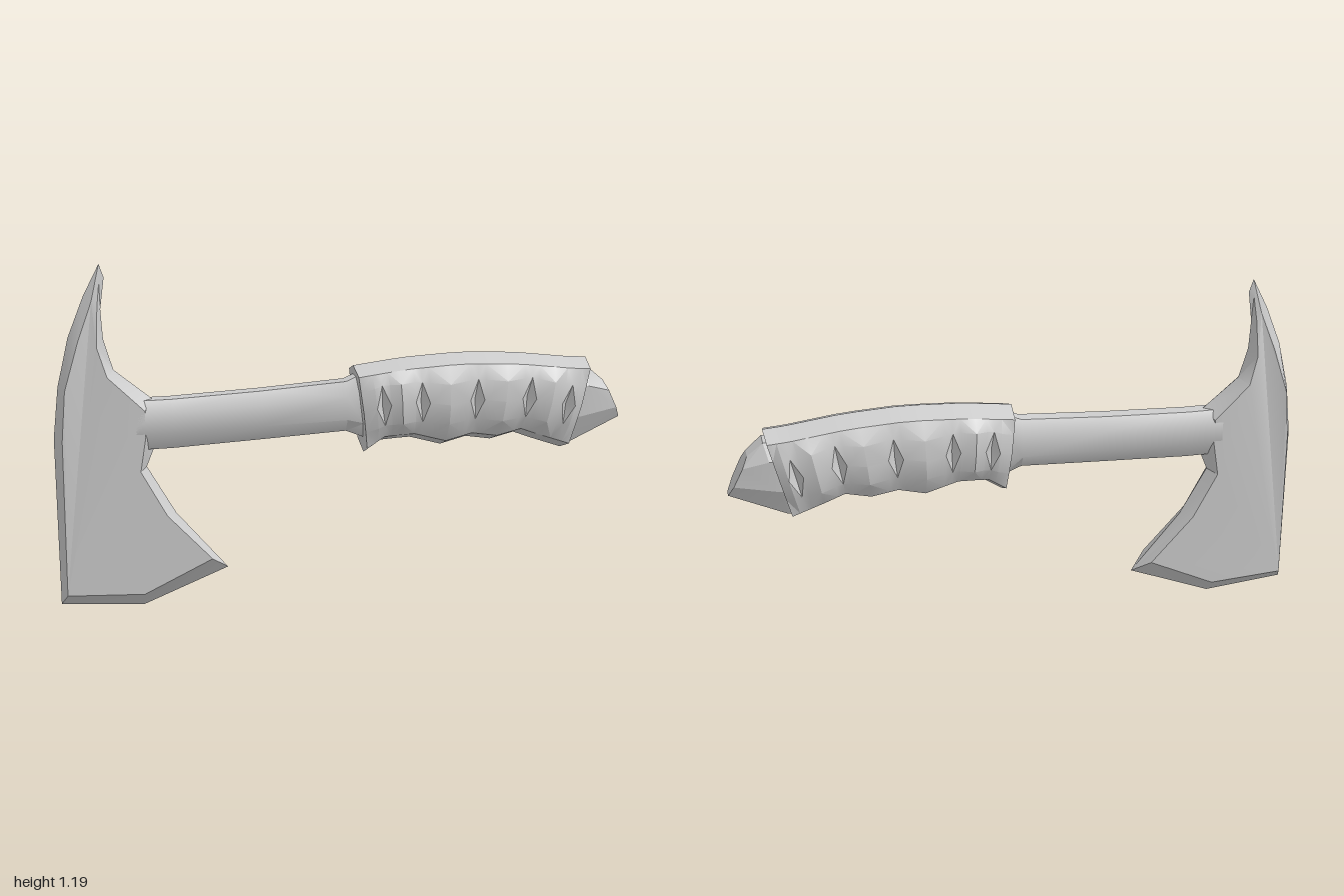
import * as THREE from 'three';
import { toCreasedNormals } from 'three/addons/utils/BufferGeometryUtils.js';

const material = new THREE.MeshStandardMaterial({ color: 0xcccccc });

function makeMesh(name, positions, indices, crease = 0.5) {
  const geometry = new THREE.BufferGeometry();
  geometry.setAttribute('position', new THREE.Float32BufferAttribute(positions.flat(), 3));
  geometry.setIndex(indices);
  const mesh = new THREE.Mesh(toCreasedNormals(geometry, crease), material);
  mesh.name = name;
  return mesh;
}

// Closed skin over rings of [x, y, z], running along +x. Each ring goes top, +z side, bottom, -z side.
// Quad diagonals alternate like a checkerboard, so that diamonds come out of the grid.
function loft(name, rings, crease) {
  const n = rings[0].length, last = rings.length - 1;
  const positions = rings.flat(), indices = [];
  for (let i = 0; i < last; i++) {
    for (let j = 0; j < n; j++) {
      const k = (j + 1) % n;
      const a = i * n + j, b = a + n, c = (i + 1) * n + k, d = i * n + k;
      if ((i + j) % 2) indices.push(a, d, b, d, c, b);
      else indices.push(a, d, c, a, c, b);
    }
  }
  for (const i of [0, last]) {
    const centre = [0, 1, 2].map((axis) => rings[i].reduce((sum, p) => sum + p[axis], 0) / n);
    const c = positions.push(centre) - 1;
    for (let j = 0; j < n; j++) {
      const a = i * n + j, b = i * n + (j + 1) % n;
      indices.push(...(i ? [c, a, b] : [c, b, a]));
    }
  }
  return makeMesh(name, positions, indices, crease);
}

// Full ring from its +z half, listed from top to bottom; points on z = 0 are not doubled
const mirrorRing = (half) => [...half, ...half.filter((p) => p[2] > 0).reverse().map(([x, y, z]) => [x, y, -z])];

// Linear interpolation in a short list of [x, value]
function lerpTable(table, x) {
  let i = 1;
  while (i < table.length - 1 && table[i][0] < x) i++;
  const [x0, v0] = table[i - 1], [x1, v1] = table[i];
  return THREE.MathUtils.mapLinear(THREE.MathUtils.clamp(x, x0, x1), x0, x1, v0, v1);
}

// Blade and spike: a sharp outline at z = 0 bevelled up to a flat cheek on each side
function createHead() {
  // outline x, y, cheek x, y, cheek half thickness
  const points = [
    [-0.82, 1.19, -0.825, 1.15, 0.005], [-0.875, 1.085, -0.85, 1.07, 0.018],
    [-0.93, 0.95, -0.90, 0.94, 0.035], [-0.97, 0.785, -0.95, 0.78, 0.05],
    [-0.99, 0.61, -0.965, 0.61, 0.05], [-0.99, 0.025, -0.97, 0.07, 0.05],
    [-0.71, 0, -0.71, 0.055, 0.05], [-0.415, 0.115, -0.475, 0.165, 0.05],
    [-0.59, 0.325, -0.625, 0.33, 0.05], [-0.685, 0.495, -0.71, 0.49, 0.05],
    [-0.66, 0.555, -0.69, 0.61, 0.05], [-0.66, 0.73, -0.69, 0.70, 0.05],
    [-0.785, 0.835, -0.81, 0.82, 0.05], [-0.815, 0.94, -0.84, 0.92, 0.035],
    [-0.82, 1.04, -0.832, 1.05, 0.02], [-0.805, 1.145, -0.822, 1.13, 0.007],
  ];
  const n = points.length;
  const positions = [
    ...points.map(([x, y]) => [x, y, 0]),
    ...points.map(([, , x, y, z]) => [x, y, z]),
    ...points.map(([, , x, y, z]) => [x, y, -z]),
  ];
  const indices = [];
  const cheek = THREE.ShapeUtils.triangulateShape(points.map((p) => new THREE.Vector2(p[2], p[3])), []);
  for (const [a, b, c] of cheek) indices.push(n + a, n + b, n + c, 2 * n + a, 2 * n + c, 2 * n + b);
  for (let i = 0; i < n; i++) {
    const k = (i + 1) % n;
    indices.push(i, k, n + k, i, n + k, n + i);
    indices.push(i, 2 * n + k, k, i, 2 * n + i, 2 * n + k);
  }
  return makeMesh('axeHead', positions, indices, 0.45);
}

// Slim neck between head and grip
function createShaft() {
  // x, top, upper crease, lower crease, bottom
  const stations = [
    [-0.72, 0.73, 0.69, 0.62, 0.56], [-0.60, 0.73, 0.69, 0.62, 0.56],
    [-0.30, 0.742, 0.695, 0.625, 0.572], [0, 0.76, 0.71, 0.63, 0.585], [0.06, 0.785, 0.73, 0.615, 0.56],
  ];
  return loft('shaft', stations.map(([x, top, upper, lower, bottom]) => mirrorRing([
    [x, top, 0.025], [x, upper, 0.05], [x, lower, 0.05], [x, bottom, 0.02],
  ])), 0.6);
}

const topLine = [[0.03, 0.81], [0.2, 0.83], [0.4, 0.84], [0.6, 0.83], [0.8, 0.805], [0.875, 0.80]];
const bottomLine = [[0.03, 0.50], [0.105, 0.54], [0.22, 0.545], [0.35, 0.512], [0.455, 0.535],
  [0.56, 0.52], [0.655, 0.54], [0.75, 0.51], [0.875, 0.475]];
// Grip stations lean, so both end faces are slanted
const lean = (s, y) => s + THREE.MathUtils.mapLinear(s, 0.03, 0.875, 0.04, -0.085) * (0.81 - y) / 0.33;

// Ring of the grip: half width w, recess pushes the middle of a diamond inwards
function gripRing(s, w, recess) {
  const top = lerpTable(topLine, s), bottom = lerpTable(bottomLine, s), mid = (top + bottom) / 2 + 0.005;
  const half = [
    [top, 0], [top - 0.027, 0.075], [mid + 0.07, w - 0.008], [mid, w - recess],
    [mid - 0.07, w - 0.008], [bottom + 0.03, 0.072], [bottom, 0],
  ];
  return mirrorRing(half.map(([y, z]) => [lean(s, y), y, z]));
}

// Grip with waves along its sides and diamond dents in the hollows
function createGrip() {
  const dents = [0.105, 0.25, 0.455, 0.655, 0.815];
  const bumps = [0.17, 0.35, 0.56, 0.74];
  const rings = [gripRing(0.03, 0.09, 0)];
  dents.forEach((s, i) => {
    rings.push(gripRing(s - 0.027, 0.104, 0), gripRing(s, 0.102, 0.03), gripRing(s + 0.027, 0.104, 0));
    if (i < bumps.length) rings.push(gripRing(bumps[i], 0.118, 0));
  });
  rings.push(gripRing(0.875, 0.09, 0));
  return loft('grip', rings, 0.4);
}

// Pommel: faceted stub tapering to a slanted end face
function createPommel() {
  const base = [[0.765, 0.035], [0.71, 0.072], [0.60, 0.072], [0.50, 0.035]];
  const end = [[0.72, 0.028], [0.685, 0.05], [0.62, 0.045], [0.58, 0.018]];
  return loft('pommel', [
    mirrorRing(base.map(([y, z]) => [lean(0.875, y) - 0.02, y, z])),
    mirrorRing(base.map(([y, z]) => [lean(0.875, y) + 0.012, y, z])),
    mirrorRing(end.map(([y, z]) => [0.93 + (0.72 - y) * 0.5, y, z])),
  ], 0.3);
}

export function createModel() {
  const group = new THREE.Group();
  group.name = 'hatchet';
  group.add(createHead(), createShaft(), createGrip(), createPommel());
  return group;
}
